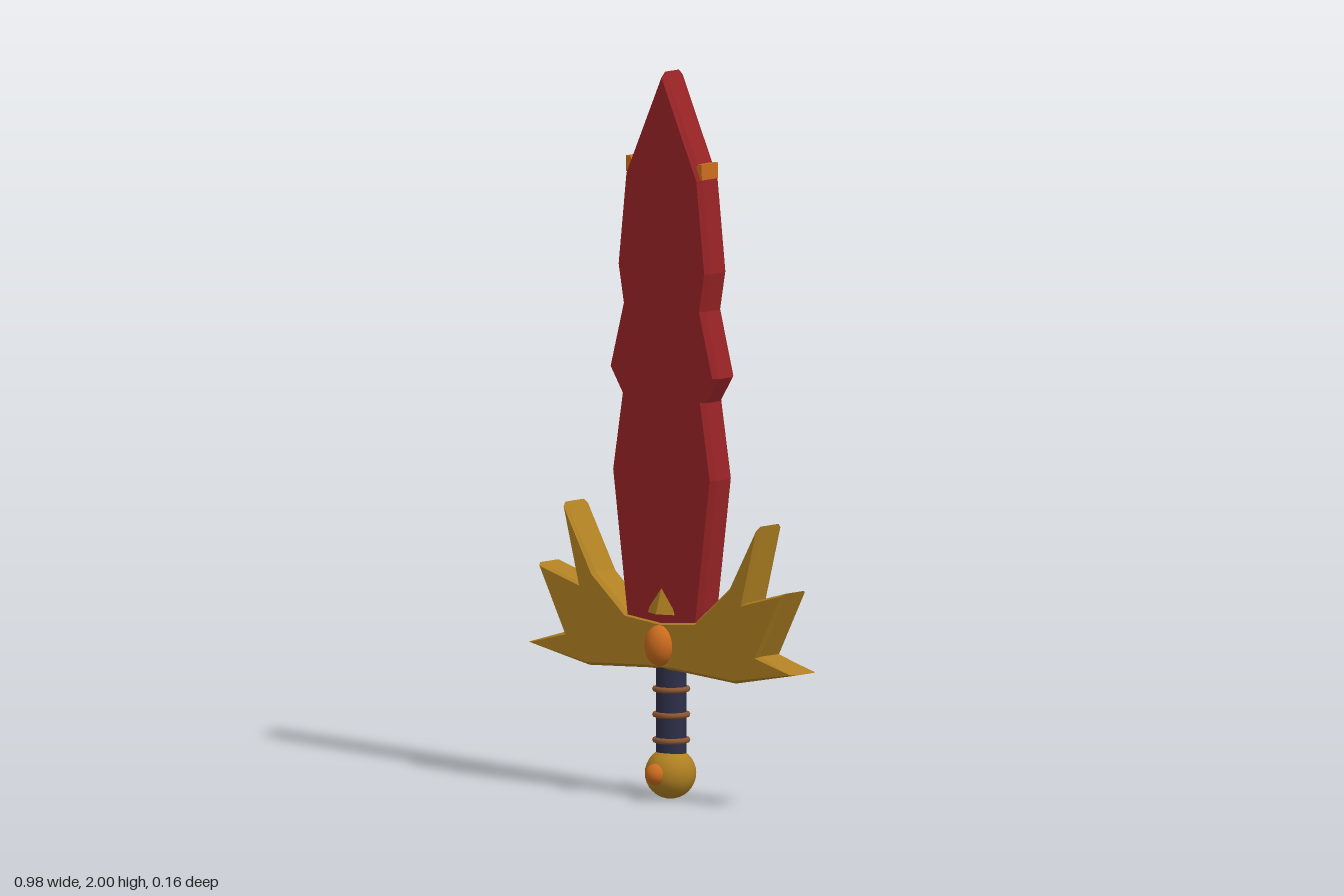
import * as THREE from 'three';

const MID = -0.013; // middle plane of the sword

const paint = (name, color) => {
  const m = new THREE.MeshStandardMaterial({ color });
  m.name = name;
  return m;
};

// Bevelled plate whose outer outline follows the given points
function plate(points, thickness, bevel) {
  const shape = new THREE.Shape(points.map(([x, y]) => new THREE.Vector2(x, y)));
  const geo = new THREE.ExtrudeGeometry(shape, {
    depth: thickness - 2 * bevel,
    bevelEnabled: bevel > 0,
    bevelThickness: bevel,
    bevelSize: bevel * 0.7,
    bevelOffset: -bevel * 0.7,
    bevelSegments: 1,
  });
  return geo.translate(0, 0, MID - thickness / 2 + bevel);
}

// Mirrors the right half of an outline; points on the axis are kept once
const mirrored = (half) => [
  ...half,
  ...half.filter(([x]) => x > 0).reverse().map(([x, y]) => [-x, y]),
];

export function createModel() {
  const model = new THREE.Group();
  model.name = 'sword';

  const red = paint('blade red', 0x982326);
  const gold = paint('gold', 0xb08022);
  const orange = paint('orange', 0xcc6c1e);
  const navy = paint('navy grip', 0x2e2e48);
  const brown = paint('brown binding', 0x8a5630);

  const add = (name, geo, mat, x = 0, y = 0, z = 0) => {
    const mesh = new THREE.Mesh(geo, mat);
    mesh.name = name;
    mesh.position.set(x, y, z);
    model.add(mesh);
    return mesh;
  };

  // Wavy blade
  add('blade', plate(mirrored([
    [0.13, 0.47], [0.187, 0.895], [0.152, 1.105], [0.197, 1.175],
    [0.148, 1.355], [0.167, 1.46], [0.138, 1.715], [0, 2],
  ]), 0.086, 0.015), red);

  // Winged guard
  add('guard', plate(mirrored([
    [0, 0.362], [0.05, 0.362], [0.268, 0.348], [0.488, 0.391], [0.357, 0.43],
    [0.45, 0.612], [0.304, 0.572], [0.357, 0.787], [0.245, 0.605],
    [0.125, 0.505], [0, 0.493],
  ]), 0.098, 0.012), gold);

  // Spike at the root of the blade, showing through both faces
  const spike = new THREE.ConeGeometry(0.066, 0.2, 8).toNonIndexed();
  spike.computeVertexNormals();
  add('rootSpike', spike, gold, 0, 0.615, MID);

  // Small barbs on the shoulders of the blade
  const barb = [[0.1, 1.715], [0.139, 1.715], [0.138, 1.758], [0.124, 1.758]];
  add('leftBarb', plate(barb, 0.066, 0), orange);
  add('rightBarb', plate(barb.map(([x, y]) => [-x, y]).reverse(), 0.066, 0), orange);

  // Grip with three bindings
  add('grip', new THREE.CylinderGeometry(0.042, 0.042, 0.28, 16), navy, 0, 0.25, MID + 0.003);
  for (const y of [0.165, 0.235, 0.305]) {
    const ring = add('gripBinding', new THREE.TorusGeometry(0.044, 0.008, 8, 24), brown, 0, y, MID + 0.003);
    ring.rotation.x = Math.PI / 2;
  }

  // Pommel and gems
  add('pommel', new THREE.SphereGeometry(0.07, 24, 16), gold, 0, 0.074, MID + 0.006);
  add('pommelGem', new THREE.SphereGeometry(0.03, 16, 12), orange, 0, 0.076, 0.052);
  const gem = add('guardGem', new THREE.SphereGeometry(0.045, 16, 12), orange, 0, 0.428, 0.037);
  gem.scale.set(1, 1.25, 0.85);

  return model;
}
